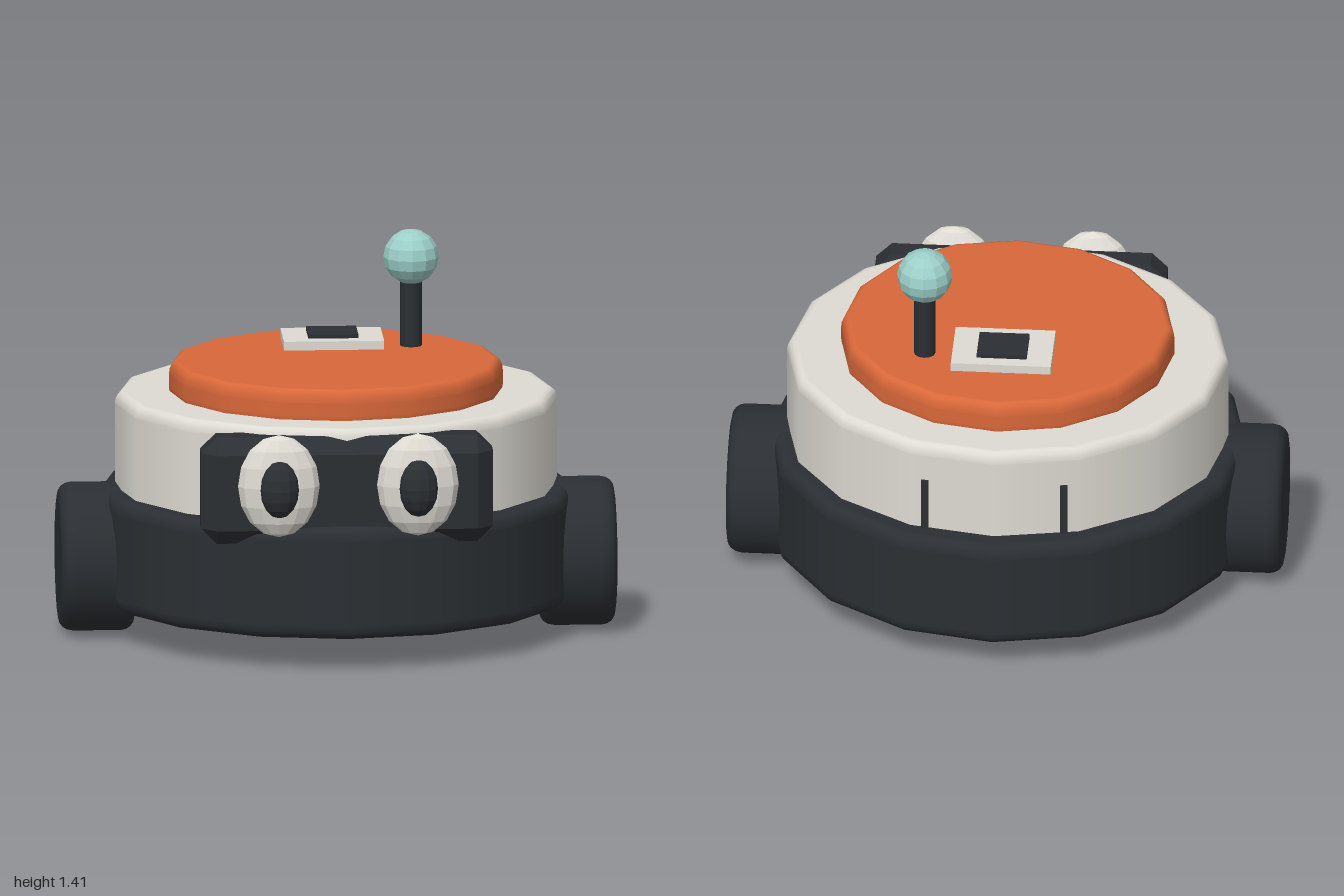
import * as THREE from 'three';
import { ConvexGeometry } from 'three/addons/geometries/ConvexGeometry.js';

const mat = (color, flatShading = false) => new THREE.MeshStandardMaterial({ color, flatShading });
const dark = mat(0x2b2f33);
const darkFlat = mat(0x2b2f33, true);
const cream = mat(0xdedbd3);
const creamFlat = mat(0xdedbd3, true);
const orange = mat(0xd9683a);
const teal = mat(0x9ccfc8, true);

// 16-sided solid disc with rounded rims, standing from y0 to y1
function roundedDisc(r, y0, y1, bevel) {
  const pts = [new THREE.Vector2(0, y0), new THREE.Vector2(r - bevel - 0.005, y0)];
  const steps = 4;
  for (let i = 0; i <= steps; i++) {
    const a = (i / steps) * Math.PI / 2;
    pts.push(new THREE.Vector2(r - bevel + bevel * Math.sin(a), y0 + bevel - bevel * Math.cos(a)));
  }
  pts.push(new THREE.Vector2(r, y0 + bevel + 0.005), new THREE.Vector2(r, y1 - bevel - 0.005));
  for (let i = 0; i <= steps; i++) {
    const a = (i / steps) * Math.PI / 2;
    pts.push(new THREE.Vector2(r - bevel + bevel * Math.cos(a), y1 - bevel + bevel * Math.sin(a)));
  }
  pts.push(new THREE.Vector2(r - bevel - 0.005, y1), new THREE.Vector2(0, y1));
  return new THREE.LatheGeometry(pts, 16);
}

// Box with all edges and corners cut
function chamferBox(w, h, d, c) {
  const pts = [];
  for (const sx of [-1, 1]) for (const sy of [-1, 1]) for (const sz of [-1, 1]) {
    for (let full = 0; full < 3; full++) {
      const p = [w / 2, h / 2, d / 2].map((v, i) => (i === full ? v : v - c));
      pts.push(new THREE.Vector3(p[0] * sx, p[1] * sy, p[2] * sz));
    }
  }
  return new ConvexGeometry(pts);
}

export function createModel() {
  const model = new THREE.Group();
  const add = (name, geometry, material, x = 0, y = 0, z = 0) => {
    const mesh = new THREE.Mesh(geometry, material);
    mesh.name = name;
    mesh.position.set(x, y, z);
    model.add(mesh);
    return mesh;
  };
  const bodyZ = -0.045;

  // Stacked oval body
  add('base', roundedDisc(1, 0.12, 0.53, 0.045).scale(0.86, 1, 0.815), dark, 0, 0, bodyZ);
  add('shell', roundedDisc(1, 0.45, 0.875, 0.04).scale(0.795, 1, 0.723), cream, 0, 0, bodyZ);
  add('lid', roundedDisc(1, 0.84, 0.985, 0.045).scale(0.6, 1, 0.567), orange, 0, 0, bodyZ);

  // Face plate
  add('facePlate', chamferBox(1.05, 0.39, 0.195, 0.057), darkFlat, 0, 0.655, 0.6225);

  for (const s of [-1, 1]) {
    const side = s > 0 ? 'left' : 'right';
    // Wheel with its axle along x
    add(side + 'Wheel', roundedDisc(0.272, -0.135, 0.135, 0.05).rotateZ(-s * Math.PI / 2),
      dark, s * 0.865, 0.274, -0.04);
    // Eye and pupil
    add(side + 'Eye', new THREE.SphereGeometry(1, 12, 8).scale(0.147, 0.187, 0.066),
      creamFlat, s * 0.25, 0.688, 0.752);
    add(side + 'Pupil', new THREE.SphereGeometry(1, 12, 8).scale(0.072, 0.105, 0.055),
      darkFlat, s * 0.25, 0.685, 0.801);
    // Vent slot on the back
    add(side + 'Vent', new THREE.BoxGeometry(0.026, 0.24, 0.03), dark, s * 0.25, 0.61, -0.718);
  }

  // Control panel on the lid
  add('panel', new THREE.BoxGeometry(0.36, 0.032, 0.245), cream, 0, 1.01, -0.28);
  add('panelScreen', new THREE.BoxGeometry(0.18, 0.025, 0.15), dark, 0, 1.028, -0.283);

  // Antenna
  add('antennaStem', new THREE.CylinderGeometry(0.039, 0.039, 0.28, 12), dark, 0.283, 1.1, -0.27);
  add('antennaBall', new THREE.SphereGeometry(0.1, 12, 8), teal, 0.283, 1.311, -0.27);

  return model;
}
